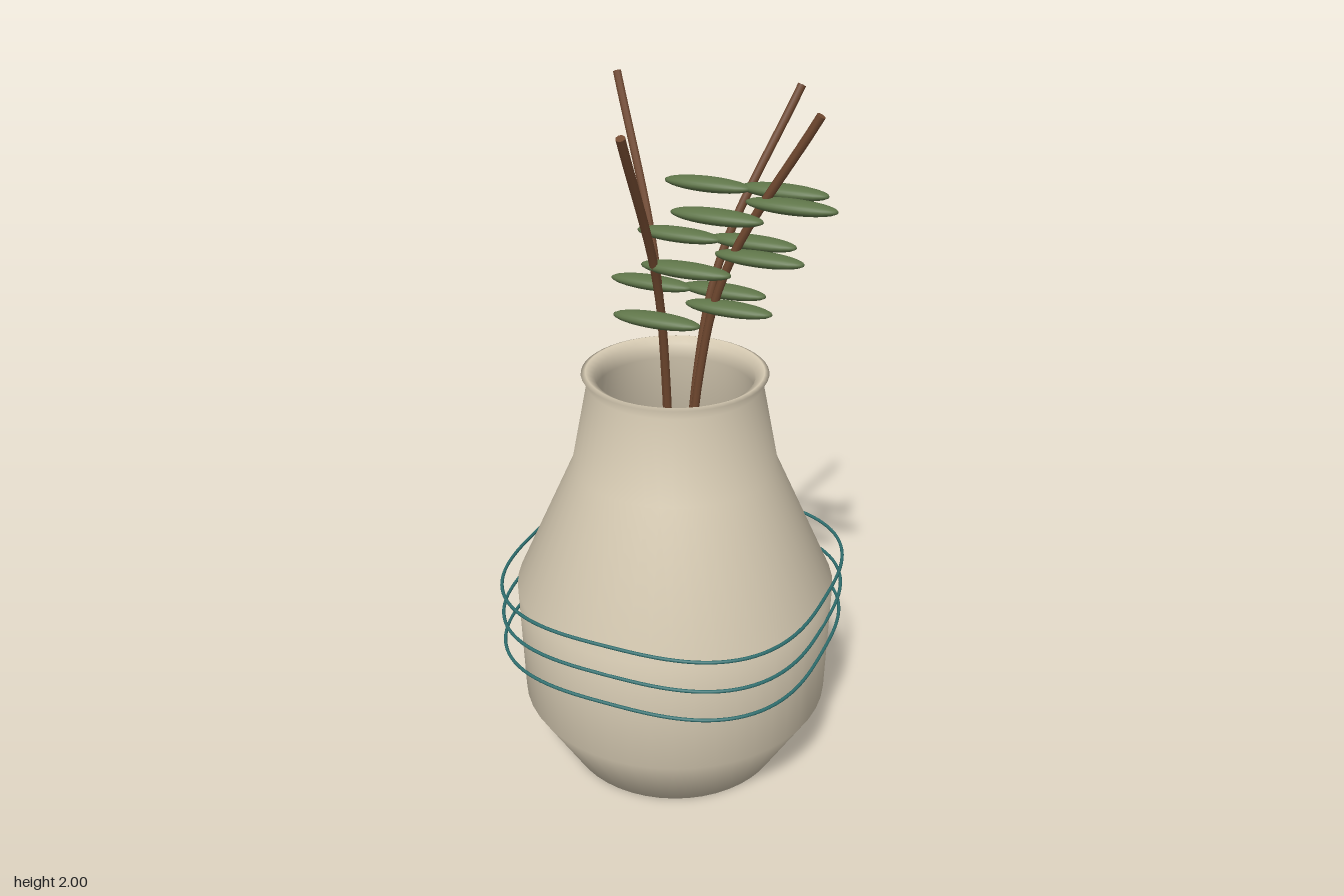
import * as THREE from 'three';

const mat = (color) => new THREE.MeshStandardMaterial({ color, side: THREE.DoubleSide });

export function createModel() {
  const model = new THREE.Group();
  const clay = mat(0xd8ccb4), teal = mat(0x2f6f6f), bark = mat(0x70482f), green = mat(0x5f7549);

  const add = (name, geometry, material, parent = model) => {
    const mesh = new THREE.Mesh(geometry, material);
    mesh.name = name;
    parent.add(mesh);
    return mesh;
  };

  // Hollow vase: outer wall, rolled lip, inner wall and floor
  const profile = [
    [0, 0], [0.33, 0], [0.46, 0.22], [0.47, 0.58], [0.295, 0.97], [0.247, 1.215],
    [0.263, 1.245], [0.25, 1.25], [0.225, 1.235],
    [0.225, 1.19], [0.265, 0.96], [0.44, 0.58], [0.43, 0.23], [0.31, 0.03], [0, 0.03],
  ].map(([r, y]) => new THREE.Vector2(r, y));
  add('vase', new THREE.LatheGeometry(profile, 48), clay);

  // Three wire loops with a rounded-square outline
  const squircle = [];
  const power = (v) => Math.sign(v) * Math.abs(v) ** (2 / 2.9);
  for (let i = 0; i < 64; i++) {
    const a = (i / 64) * Math.PI * 2;
    squircle.push(new THREE.Vector3(0.47 * power(Math.cos(a)), 0, 0.47 * power(Math.sin(a))));
  }
  const loop = new THREE.TubeGeometry(new THREE.CatmullRomCurve3(squircle, true), 128, 0.005, 8, true);
  for (const y of [0.428, 0.524, 0.62]) add('wireLoop', loop, teal).position.y = y;

  // Branches fan out from the middle of the vase, each with three flat leaves
  const leaf = new THREE.SphereGeometry(1, 24, 14).scale(0.125, 0.02, 0.035);
  const tips = [[-0.29, -0.267], [0.03, 0.39], [0.236, -0.308], [0.39, 0]];
  for (const [x, z] of tips) {
    const branch = new THREE.Group();
    branch.name = 'branch';
    model.add(branch);

    const path = [[0, 0.04], [0.19, 1.25], [0.385, 1.57], [1, 1.995]]
      .map(([k, y]) => new THREE.Vector3(x * k, y, z * k));
    const stem = new THREE.CatmullRomCurve3(path);
    add('stem', new THREE.TubeGeometry(stem, 40, 0.012, 8), bark, branch);

    // End cap on the stem tip
    const cap = add('stemTip', new THREE.CircleGeometry(0.012, 8), bark, branch);
    cap.position.copy(path[3]);
    cap.quaternion.setFromUnitVectors(new THREE.Vector3(0, 0, 1), stem.getTangent(1));

    for (let i = 0; i < 3; i++) {
      add('leaf', leaf, green, branch).position.set(x * 0.4 + i * 0.083, 1.455 + i * 0.151, z * 0.39);
    }
  }
  return model;
}
